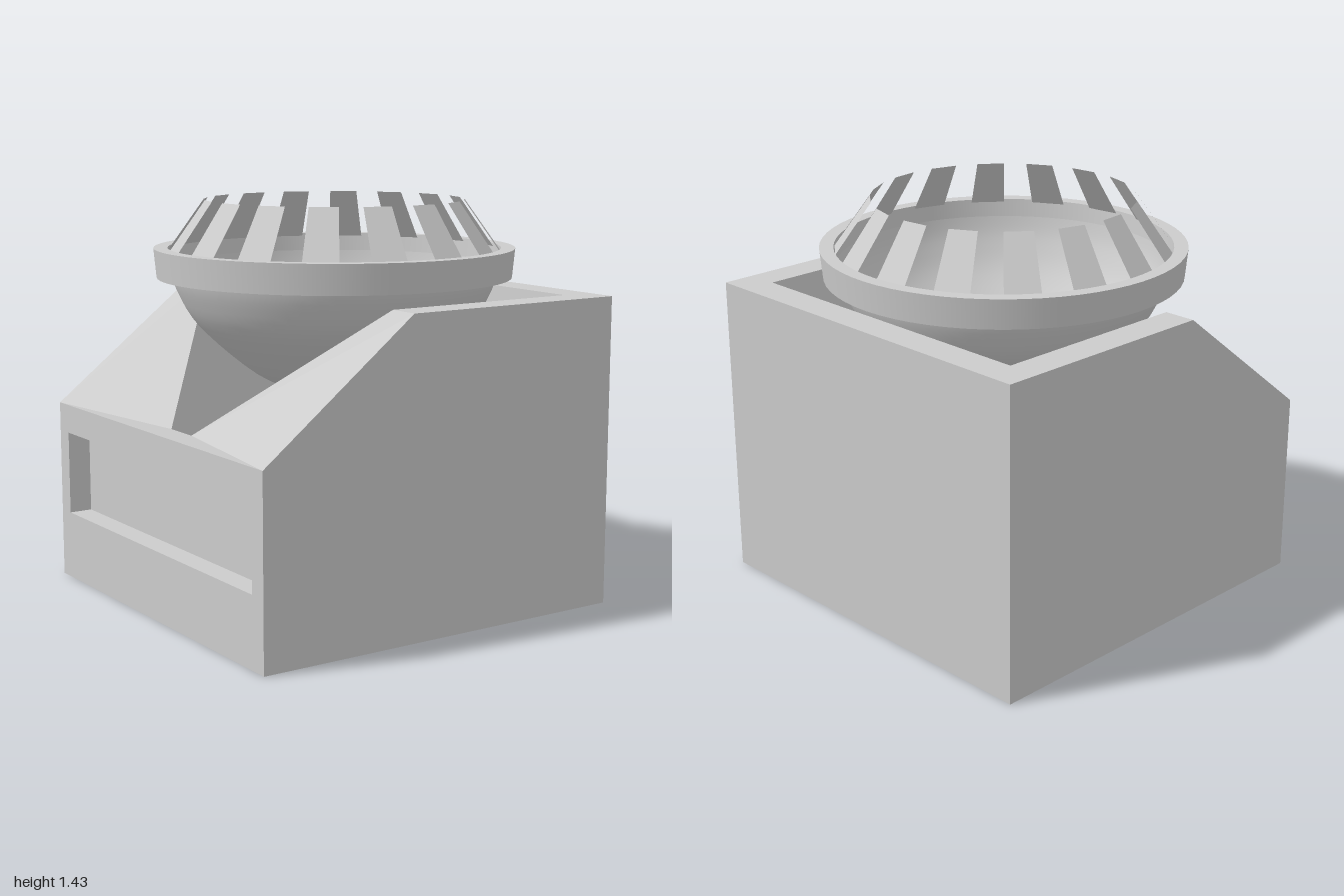
import * as THREE from 'three';

const material = new THREE.MeshStandardMaterial({ color: 0xcccccc, side: THREE.DoubleSide });

// Flat-faced mesh made from strips between pairs of loops, plus flat fans
function loft(name, bands, caps = []) {
  const out = [];
  const tri = (a, b, c) => { if (a !== b && b !== c && a !== c) out.push(...a, ...b, ...c); };
  for (const [a, b] of bands) {
    a.forEach((p, i) => {
      const j = (i + 1) % a.length;
      tri(p, a[j], b[j]);
      tri(p, b[j], b[i]);
    });
  }
  for (const c of caps) for (let i = 1; i < c.length - 1; i++) tri(c[0], c[i], c[i + 1]);
  const g = new THREE.BufferGeometry();
  g.setAttribute('position', new THREE.Float32BufferAttribute(out, 3));
  g.computeVertexNormals();
  const m = new THREE.Mesh(g, material);
  m.name = name;
  return m;
}

function rectangle(w, y0, y1, z) {
  return [[-w, y0, z], [w, y0, z], [w, y1, z], [-w, y1, z]];
}

function turned(name, profile, crease = false) {
  const pts = profile.map(([r, y]) => new THREE.Vector2(r, y));
  let g = new THREE.LatheGeometry(pts, 64);
  if (crease) {
    // separate lathes per segment keep the ring edges sharp
    const group = new THREE.Group();
    for (let i = 0; i < pts.length - 1; i++) {
      group.add(new THREE.Mesh(new THREE.LatheGeometry([pts[i], pts[i + 1]], 64), material));
    }
    group.name = name;
    return group;
  }
  const m = new THREE.Mesh(g, material);
  m.name = name;
  return m;
}

export function createModel() {
  const model = new THREE.Group();
  model.name = 'bowlOnPedestal';
  const body = new THREE.Group();
  body.name = 'pedestal';
  body.rotation.y = -0.983;
  model.add(body);

  const h = 0.717, top = 1.105, low = 0.66, zs = 0.14, r = 0.6;

  // Outer corners of the block
  const ground = [[-h, 0, h], [-h, 0, -h], [h, 0, -h], [h, 0, h]];
  const frontL = [-h, low, h], frontR = [h, low, h];
  const slopeL = [-h, top, zs], slopeR = [h, top, zs];
  const backL = [-h, top, -h], backR = [h, top, -h];
  body.add(loft('blockWalls', [], [
    ground,
    [ground[0], frontL, slopeL, backL, ground[1]],
    [ground[1], backL, backR, ground[2]],
    [ground[2], backR, slopeR, frontR, ground[3]],
  ]));

  // Front face with a shallow rectangular recess
  const hole = rectangle(0.65, 0.25, 0.555, h);
  const inset = rectangle(0.65, 0.25, 0.555, h - 0.085);
  body.add(loft('frontRecess', [[rectangle(h, 0, low, h), hole], [hole, inset]], [inset]));

  // Rim with sloping front and pouring channel
  const lipL = [-0.136, low, h], lipR = [0.136, low, h];
  const spoutL = [-0.07, 0.65, 0.6], spoutR = [0.07, 0.65, 0.6];
  const inL = [-r, top, zs], inR = [r, top, zs];
  const cornerL = [-r, top, -r], cornerR = [r, top, -r];
  body.add(loft('rim', [[
    [lipL, frontL, slopeL, backL, backR, slopeR, frontR, lipR],
    [spoutL, spoutL, inL, cornerL, cornerR, inR, spoutR, spoutR],
  ]]));

  // Cavity tapering down to a flat floor
  const mouth = [spoutL, inL, cornerL, cornerR, inR, spoutR];
  const floor = mouth.map(([x, , z]) => [x * 0.75, 0.08, -0.26 + (z + 0.26) * 0.75]);
  body.add(loft('cavity', [[mouth, floor]], [floor]));

  // Bowl, collar and slatted crown share one upright axis
  const vessel = new THREE.Group();
  vessel.name = 'vessel';
  vessel.position.set(0.03, 0, -0.015);
  model.add(vessel);

  const curve = new THREE.SplineCurve([
    [0.1, 0.73], [0.28, 0.805], [0.48, 0.975], [0.56, 1.1], [0.59, 1.2], [0.595, 1.255],
  ].map(([x, y]) => new THREE.Vector2(x, y)));
  const bowlProfile = curve.getPoints(24).map((p) => [p.x, p.y]);
  vessel.add(turned('bowl', [[0, 0.725], ...bowlProfile]));
  vessel.add(turned('collar',
    [[0.585, 1.155], [0.635, 1.155], [0.645, 1.26], [0.595, 1.26], [0.585, 1.155]], true));

  // Sixteen inward-leaning slats
  const slats = new THREE.Group();
  slats.name = 'crownSlats';
  const r0 = 0.59, r1 = 0.462;
  for (let i = 0; i < 16; i++) {
    const slat = loft('slat', [], [
      [[r0, 1.25, 0.062], [r0, 1.25, -0.062], [r1, 1.43, -0.05], [r1, 1.43, 0.05]],
    ]);
    slat.rotation.y = -(i * Math.PI) / 8 - 0.085;
    slats.add(slat);
  }
  vessel.add(slats);

  return model;
}
